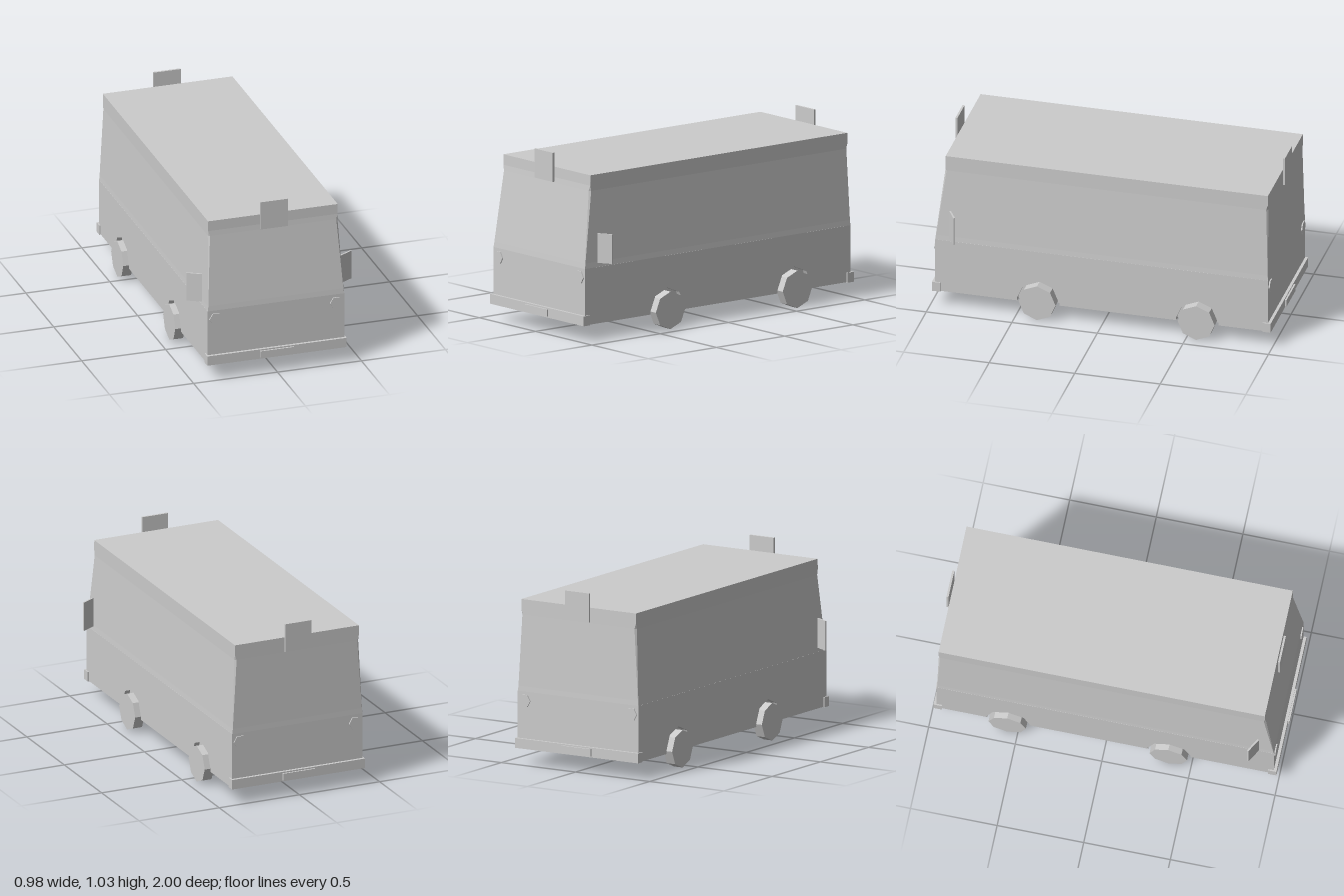
import * as THREE from 'three';

const grey = new THREE.MeshStandardMaterial({ color: 0xcccccc });
grey.name = 'light grey';
grey.flatShading = true;

const WHEEL_Z = [0.37, -0.56];
const WHEEL_R = 0.108;

function add(group, name, geometry, x = 0, y = 0, z = 0) {
  const mesh = new THREE.Mesh(geometry, grey);
  mesh.name = name;
  mesh.position.set(x, y, z);
  group.add(mesh);
  return mesh;
}

// Upper cabin: rectangular rings with cut corners, joined upwards and capped
function cabinGeometry() {
  // y, half width, front z, back z, corner cut
  const levels = [
    [0.42, 0.406, 0.973, -0.973, 0.0005],
    [0.45, 0.404, 0.97, -0.972, 0.002],
    [0.86, 0.386, 0.921, -0.967, 0.01],
    [0.89, 0.386, 0.918, -0.967, 0.0005],
    [0.95, 0.386, 0.917, -0.967, 0.0005],
  ];
  const pos = [], index = [];
  for (const [y, w, f, b, c] of levels) {
    pos.push(w - c, y, f, w, y, f - c, w, y, b + c, w - c, y, b,
      c - w, y, b, -w, y, b + c, -w, y, f - c, c - w, y, f);
  }
  for (let l = 0; l < levels.length - 1; l++) {
    for (let i = 0; i < 8; i++) {
      const a = l * 8 + i, b = l * 8 + (i + 1) % 8;
      index.push(a, b, b + 8, a, b + 8, a + 8);
    }
  }
  const top = (levels.length - 1) * 8;
  for (let i = 1; i < 7; i++) index.push(top, top + i, top + i + 1);
  const g = new THREE.BufferGeometry();
  g.setAttribute('position', new THREE.Float32BufferAttribute(pos, 3));
  g.setIndex(index);
  const flat = g.toNonIndexed();
  flat.computeVertexNormals();
  return flat;
}

// Lower side wall with half-octagon wheel arches, drawn in (z, y)
function sideWallGeometry(thickness) {
  const s = new THREE.Shape();
  s.moveTo(0.973, 0.42);
  s.lineTo(0.973, 0.095);
  for (const z of WHEEL_Z) {
    s.lineTo(z + 0.122, 0.095);
    for (let k = 0; k <= 4; k++) {
      const a = k * Math.PI / 4;
      s.lineTo(z + 0.125 * Math.cos(a), 0.11 + 0.125 * Math.sin(a));
    }
    s.lineTo(z - 0.122, 0.095);
  }
  s.lineTo(-0.973, 0.095);
  s.lineTo(-0.973, 0.42);
  const g = new THREE.ExtrudeGeometry(s, { depth: thickness, bevelEnabled: false });
  // shape x becomes z, extrusion runs towards -x
  g.rotateY(-Math.PI / 2);
  return g;
}

export function createModel() {
  const van = new THREE.Group();
  van.name = 'van';

  // Body
  add(van, 'cabin', cabinGeometry());
  add(van, 'lowerBody', new THREE.BoxGeometry(0.75, 0.325, 1.946), 0, 0.2575, 0);
  add(van, 'leftSideWall', sideWallGeometry(0.032), 0.407);
  add(van, 'rightSideWall', sideWallGeometry(0.032), -0.375);

  // Wheels
  for (const side of [1, -1]) {
    for (const z of WHEEL_Z) {
      const g = new THREE.CylinderGeometry(WHEEL_R, WHEEL_R, 0.057, 8);
      g.rotateZ(Math.PI / 2);
      add(van, 'wheel', g, side * 0.407, WHEEL_R, z);
    }
  }

  // Bumpers, number plates and lamps at both ends
  for (const end of [1, -1]) {
    const tag = end > 0 ? 'front' : 'rear';
    add(van, tag + 'Bumper', new THREE.BoxGeometry(0.83, 0.057, 0.048), 0, 0.1215, end * 0.966);
    add(van, tag + 'Plate', new THREE.BoxGeometry(0.2, 0.042, 0.012), 0, 0.121, end * 0.994);
    for (const side of [1, -1]) {
      const g = new THREE.CylinderGeometry(0.039, 0.039, 0.02, 6);
      g.rotateY(Math.PI / 6);
      g.rotateX(Math.PI / 2);
      add(van, tag + 'Lamp', g, side * 0.359, 0.368, end * 0.97);
    }
  }

  // Roof signs
  add(van, 'frontSign', new THREE.BoxGeometry(0.162, 0.168, 0.012), 0, 0.951, 0.935);
  add(van, 'rearSign', new THREE.BoxGeometry(0.162, 0.168, 0.012), 0, 0.951, -0.979);

  // Wing mirrors, swept backwards
  for (const side of [1, -1]) {
    const mirror = add(van, side > 0 ? 'leftMirror' : 'rightMirror',
      new THREE.BoxGeometry(0.09, 0.17, 0.01), side * 0.45, 0.531, 0.862);
    mirror.rotation.y = side * 0.52;
  }
  return van;
}
